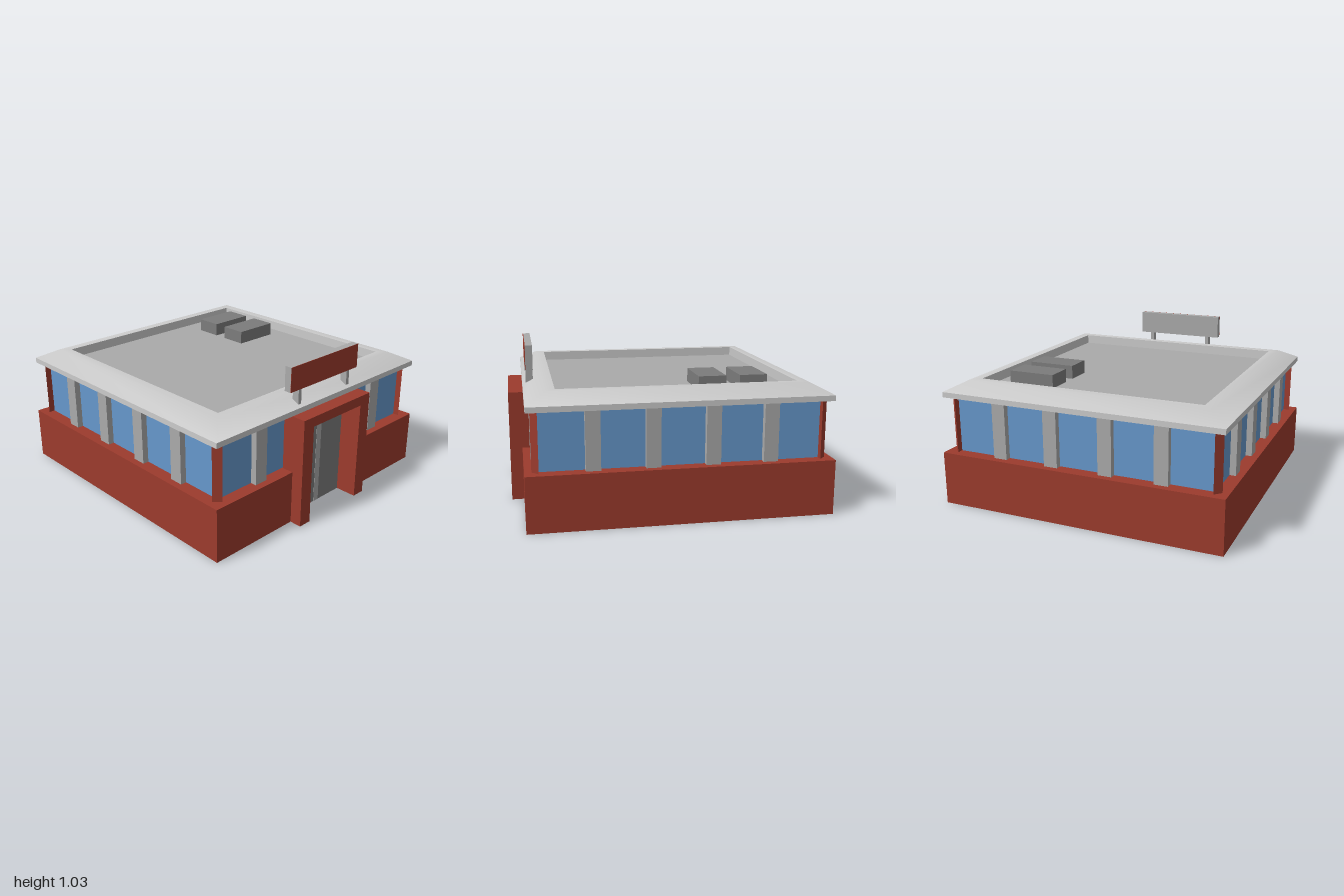
import * as THREE from 'three';
import { toCreasedNormals } from 'three/addons/utils/BufferGeometryUtils.js';

const mat = (color) => new THREE.MeshStandardMaterial({ color });

export function createModel() {
  const model = new THREE.Group();
  const red = mat(0x9c3b2d), glass = mat(0x6698cc);
  const light = mat(0xcccccc), grey = mat(0xaaaaaa), dark = mat(0x7c7c7c);
  const ZC = -0.04; // centre of the square building; the porch projects in front

  const add = (name, geometry, material, parent = model) => {
    const mesh = new THREE.Mesh(geometry, material);
    mesh.name = name;
    parent.add(mesh);
    return mesh;
  };
  // box given by its lower and upper corners
  const box = (name, material, [x0, y0, z0], [x1, y1, z1], parent) => {
    const mesh = add(name, new THREE.BoxGeometry(x1 - x0, y1 - y0, z1 - z0), material, parent);
    mesh.position.set((x0 + x1) / 2, (y0 + y1) / 2, (z0 + z1) / 2);
    return mesh;
  };
  // prism over a plan outline of [x, z] points
  const prism = (points, y0, y1) => {
    const shape = new THREE.Shape(points.map(([x, z]) => new THREE.Vector2(x, -z)));
    return new THREE.ExtrudeGeometry(shape, { depth: y1 - y0, bevelEnabled: false })
      .rotateX(-Math.PI / 2).translate(0, y0, 0);
  };

  // Low wall, notched at the entrance
  add('baseWall', prism([
    [-0.96, -1], [0.96, -1], [0.96, 0.92], [0.23, 0.92], [0.23, 0.85],
    [-0.23, 0.85], [-0.23, 0.92], [-0.96, 0.92],
  ], 0, 0.355), red);

  // Window band
  box('windows', glass, [-0.875, 0.355, ZC - 0.875], [0.875, 0.73, ZC + 0.875]);

  // Pillars and wedge-shaped corner posts, repeated on four sides
  for (let i = 0; i < 4; i++) {
    const side = new THREE.Group();
    side.name = 'windowSide';
    side.position.z = ZC;
    side.rotation.y = i * Math.PI / 2;
    model.add(side);
    for (const x of [-0.552, -0.186, 0.186, 0.552]) {
      if (i === 0 && Math.abs(x) < 0.3) continue; // the entrance stands here
      box('pillar', grey, [x - 0.046, 0.355, 0.87], [x + 0.046, 0.73, 0.915], side);
    }
    add('cornerPost', prism([[0.875, 0.875], [0.917, 0.875], [0.875, 0.917]], 0.355, 0.73), red, side);
  }

  // Entrance surround
  const porch = new THREE.Shape([
    [-0.32, 0], [-0.23, 0], [-0.23, 0.665], [0.23, 0.665],
    [0.23, 0], [0.32, 0], [0.32, 0.73], [-0.32, 0.73],
  ].map(([x, y]) => new THREE.Vector2(x, y)));
  add('entranceFrame', new THREE.ExtrudeGeometry(porch, { depth: 0.16, bevelEnabled: false }), red)
    .position.z = 0.84;

  // Double door with centre strip
  for (const s of [-1, 1]) {
    box('doorLeaf', dark, [s < 0 ? -0.23 : 0.022, 0, 0.835], [s < 0 ? -0.022 : 0.23, 0.665, 0.855]);
  }
  box('doorStrip', grey, [-0.022, 0, 0.835], [0.022, 0.665, 0.857]);

  // Roof: four-sided lathe with fascia, sloped rim and sunken well
  const profile = [[0, 0.73], [0.945, 0.73], [0.945, 0.765], [0.82, 0.83], [0.76, 0.83], [0.76, 0.765]]
    .map(([r, y]) => new THREE.Vector2(r * Math.SQRT2, y));
  add('roof', toCreasedNormals(new THREE.LatheGeometry(profile, 4, Math.PI / 4), 0.8), light)
    .position.z = ZC;
  box('roofDeck', grey, [-0.76, 0.74, ZC - 0.76], [0.76, 0.767, ZC + 0.76]);

  // Rooftop units
  for (const z of [-0.64, -0.37]) box('roofUnit', dark, [0.33, 0.765, z], [0.65, 0.857, z + 0.18]);

  // Sign board on two posts, coloured on its front only
  box('signBoard', grey, [-0.32, 0.875, 0.835], [0.32, 1.035, 0.882]);
  box('signFace', red, [-0.32, 0.875, 0.881], [0.32, 1.035, 0.884]);
  for (const x of [-0.232, 0.232]) {
    box('signPost', grey, [x - 0.013, 0.765, 0.835], [x + 0.013, 0.875, 0.882]);
  }

  return model;
}
